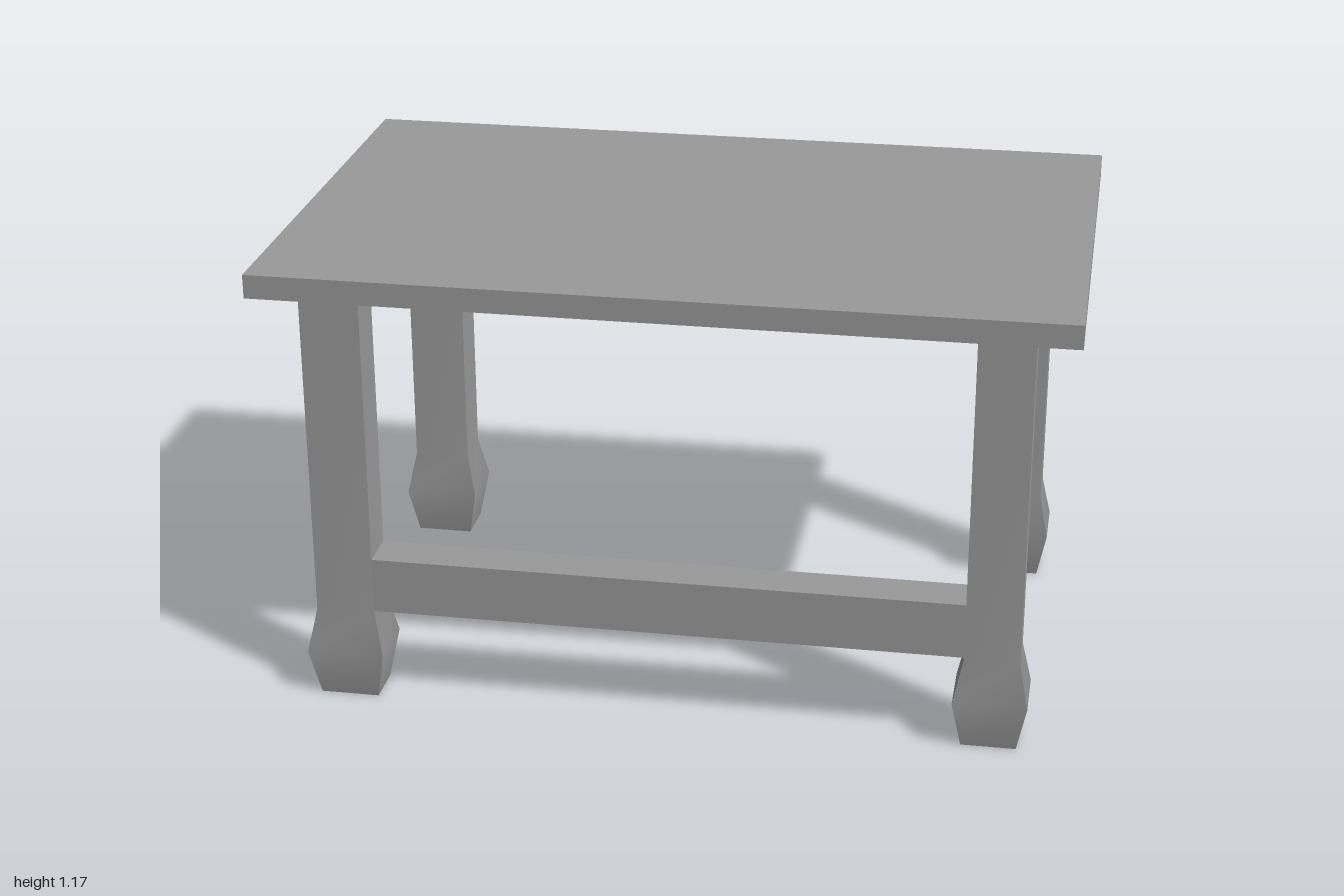
import * as THREE from 'three';

export function createModel() {
  const model = new THREE.Group();
  model.name = 'table';
  const grey = new THREE.MeshStandardMaterial({ color: 0x999999 });
  grey.name = 'plain grey';

  // Box given by its limits on each axis
  function block(name, [x0, x1], [y0, y1], [z0, z1]) {
    const mesh = new THREE.Mesh(new THREE.BoxGeometry(x1 - x0, y1 - y0, z1 - z0), grey);
    mesh.position.set((x0 + x1) / 2, (y0 + y1) / 2, (z0 + z1) / 2);
    mesh.name = name;
    model.add(mesh);
  }

  // Square leg whose foot swells outwards: rows of a unit box moved to
  // set heights; sides stay smooth up and down, corners stay sharp
  const rows = [
    { y: 0, swell: 0 },
    { y: 0.125, swell: 0.024 },
    { y: 0.24, swell: 0 },
    { y: 1.11, swell: 0 },
  ];
  function leg(name, [x0, x1], [z0, z1]) {
    const geometry = new THREE.BoxGeometry(1, 1, 1, 1, rows.length - 1, 1);
    const p = geometry.attributes.position;
    for (let i = 0; i < p.count; i++) {
      const { y, swell } = rows[Math.round((p.getY(i) + 0.5) * (rows.length - 1))];
      p.setXYZ(i,
        p.getX(i) > 0 ? x1 + swell : x0 - swell,
        y,
        p.getZ(i) > 0 ? z1 + swell : z0 - swell);
    }
    geometry.computeVertexNormals();
    const mesh = new THREE.Mesh(geometry, grey);
    mesh.name = name;
    model.add(mesh);
  }

  const leftX = [0.754, 0.892], rightX = [-0.893, -0.743];
  const frontZ = [0.44, 0.552], backZ = [-0.55, -0.426];

  block('tableTop', [-1, 1], [1.11, 1.17], [-0.635, 0.635]);
  leg('frontLeftLeg', leftX, frontZ);
  leg('frontRightLeg', rightX, frontZ);
  leg('backLeftLeg', leftX, backZ);
  leg('backRightLeg', rightX, backZ);

  // Rail joining the two front legs, flush with them
  block('frontStretcher', [rightX[1], leftX[0]], [0.245, 0.39], frontZ);

  return model;
}
